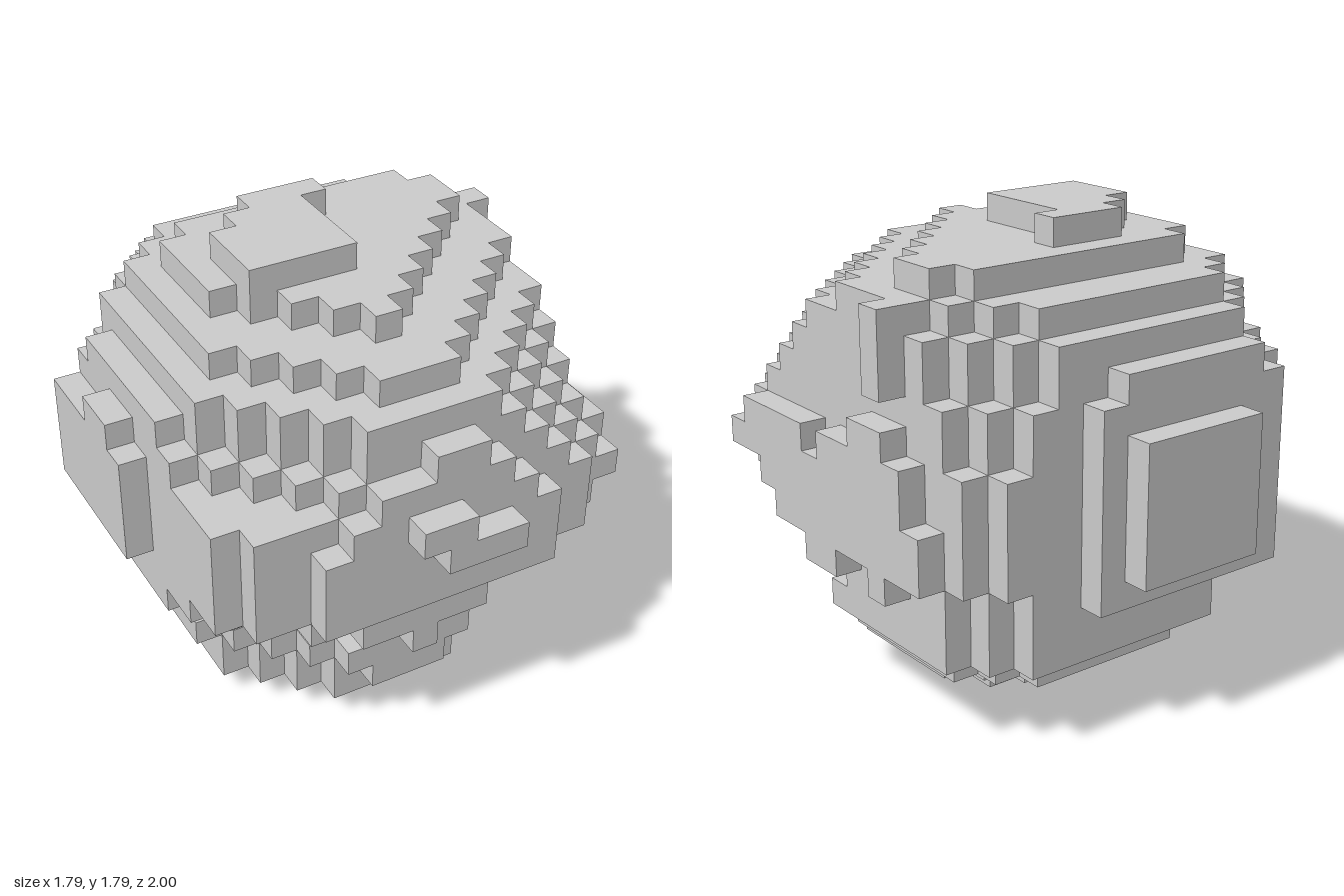
import * as THREE from 'three';

const V = 2 / 19; // voxel edge
const NX = 17, NZ = 19;

// One octagonal slab per voxel layer, bottom to top:
// [x0, x1, z0, z1, stair-cut corners: left-front, right-front, left-back, right-back]
const LAYERS = [
  [5, 12, 9, 13, 1, 1, 1, 1],
  [3, 14, 5, 15, 3, 3, 3, 2],
  [3, 15, 3, 16, 4, 5, 4, 2],
  [2, 16, 2, 16, 4, 5, 4, 2],
  [2, 16, 2, 17, 6, 7, 4, 2],
  [1, 16, 2, 17, 5, 5, 3, 2],
  [1, 16, 2, 17, 3, 3, 3, 1],
  [1, 16, 2, 17, 1, 1, 2, 1],
  [1, 16, 2, 17, 1, 1, 2, 1],
  [1, 16, 2, 17, 1, 1, 3, 1],
  [1, 16, 2, 17, 1, 2, 3, 2],
  [1, 16, 2, 17, 4, 3, 3, 2],
  [1, 16, 2, 17, 5, 4, 4, 3],
  [2, 16, 2, 17, 4, 5, 3, 3],
  [3, 16, 3, 16, 4, 6, 2, 3],
  [4, 16, 5, 14, 4, 7, 1, 2],
  [5, 9, 6, 11, 0, 0, 2, 0],
];

// Raised patches on the outside: [x0, x1, y0, y1, z0, z1]
const PATCHES = [
  [4, 13, 7, 10, 17, 18], [5, 12, 10, 11, 17, 18],   // front
  [6, 11, 11, 12, 17, 18], [8, 10, 12, 13, 17, 18],
  [7, 9, 10, 11, 18, 19], [8, 11, 9, 10, 18, 19],
  [4, 12, 5, 12, 1, 2], [5, 11, 12, 13, 1, 2],       // back
  [6, 11, 6, 11, 0, 1],
  [0, 1, 7, 11, 5, 11], [0, 1, 11, 12, 8, 10],       // -x side
  [16, 17, 5, 6, 9, 11], [16, 17, 5, 6, 6, 7],       // +x side
  [16, 17, 6, 7, 4, 13], [16, 17, 7, 8, 4, 14],
  [16, 17, 8, 9, 5, 16], [16, 17, 9, 10, 5, 10],
  [16, 17, 9, 10, 11, 15], [16, 17, 10, 11, 6, 8],
  [16, 17, 12, 15, 6, 7],                            // hanging column
  [9, 10, 16, 17, 6, 7],                             // top
  [11, 12, 0, 1, 7, 8],                              // underside
];

function fillVoxels() {
  const filled = new Set();
  const add = (x, y, z) => filled.add(`${x},${y},${z}`);
  LAYERS.forEach(([x0, x1, z0, z1, lf, rf, lb, rb], y) => {
    for (let x = x0; x < x1; x++) for (let z = z0; z < z1; z++) {
      const l = x - x0, r = x1 - 1 - x, b = z - z0, f = z1 - 1 - z;
      if (l + f >= lf && r + f >= rf && l + b >= lb && r + b >= rb) add(x, y, z);
    }
  });
  for (const [x0, x1, y0, y1, z0, z1] of PATCHES)
    for (let x = x0; x < x1; x++) for (let y = y0; y < y1; y++)
      for (let z = z0; z < z1; z++) add(x, y, z);
  return filled;
}

// Only the faces between a filled and an empty cell
function voxelSurface(filled) {
  const pos = [], nor = [], index = [];
  for (const key of filled) {
    const c = key.split(',').map(Number);
    for (let a = 0; a < 3; a++) for (const s of [-1, 1]) {
      const n = [0, 0, 0];
      n[a] = s;
      if (filled.has(c.map((v, i) => v + n[i]).join())) continue;
      const u = (a + 1) % 3, w = (a + 2) % 3, start = pos.length / 3;
      for (const [p, q] of [[0, 0], [1, 0], [1, 1], [0, 1]]) {
        const k = [...c];
        k[a] += s > 0 ? 1 : 0;
        k[u] += p;
        k[w] += q;
        pos.push((k[0] - NX / 2) * V, k[1] * V, (k[2] - NZ / 2) * V);
        nor.push(...n);
      }
      const order = s > 0 ? [0, 1, 2, 0, 2, 3] : [0, 2, 1, 0, 3, 2];
      index.push(...order.map((i) => start + i));
    }
  }
  const g = new THREE.BufferGeometry();
  g.setAttribute('position', new THREE.Float32BufferAttribute(pos, 3));
  g.setAttribute('normal', new THREE.Float32BufferAttribute(nor, 3));
  g.setIndex(index);
  return g;
}

export function createModel() {
  const group = new THREE.Group();
  group.name = 'voxelBoulder';
  const rock = new THREE.Mesh(
    voxelSurface(fillVoxels()),
    new THREE.MeshStandardMaterial({ color: 0xcccccc, flatShading: true })
  );
  rock.name = 'rock';
  group.add(rock);
  return group;
}
